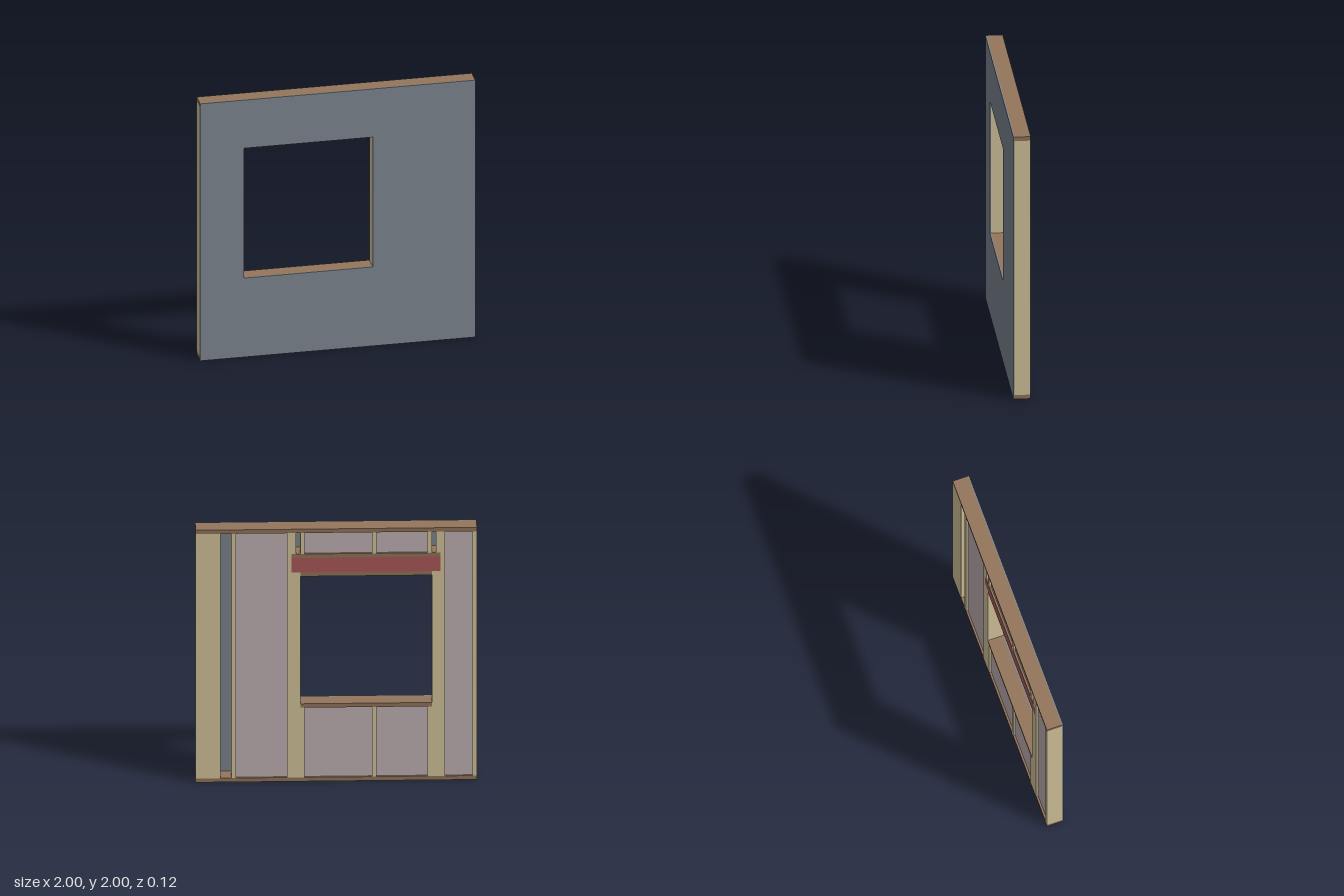
import * as THREE from 'three';

const T = 0.03125;                     // lumber thickness
const BACK = -0.062, FACE = 0.0527, FRONT = 0.062;
const L = 0.255, R = -0.68;            // sides of the window opening
const SILL = 0.615, HEAD = 1.625;      // bottom and top of the opening

const mat = (color) => new THREE.MeshStandardMaterial({ color, flatShading: true });
const wood = mat(0xd9c9a0), plate = mat(0x94765c), red = mat(0xb05a5a);
const batt = mat(0xc6b7b8), board = mat(0x7f8893);

export function createModel() {
  const model = new THREE.Group();

  // box given by its extents
  const block = (name, x0, x1, y0, y1, material, z0 = BACK, z1 = FACE) => {
    const mesh = new THREE.Mesh(new THREE.BoxGeometry(x1 - x0, y1 - y0, z1 - z0), material);
    mesh.position.set((x0 + x1) / 2, (y0 + y1) / 2, (z0 + z1) / 2);
    mesh.name = name;
    model.add(mesh);
  };
  // upright lumber starting at x
  const stud = (name, x, y0 = T, y1 = 2 - T) => block(name, x, x + T, y0, y1, wood);
  // batt slightly recessed from the open back
  const insulate = (x0, x1, y0, y1) => block('insulation', x0, x1, y0, y1, batt, BACK + 0.015, FACE);

  // top and bottom plates
  block('bottomPlate', -1, 1, 0, T, plate);
  block('topPlate', -1, 1, 2 - T, 2, plate);

  // corner post: two studs with a flat stud between, and the end stud
  stud('cornerStud', 1 - T);
  block('cornerFlatStud', 0.854, 1 - T, T, 2 - T, wood, BACK, BACK + T);
  stud('cornerStud', 0.854 - T);
  stud('endStud', -1);
  stud('commonStud', 0.714);

  // header with its plates
  const h0 = HEAD + T, h1 = h0 + 0.1146, h2 = h1 + T;
  block('headerBottomPlate', R, L, HEAD, h0, plate);
  block('header', R - 2 * T, L + 2 * T, h0, h1, red);
  block('headerTopPlate', R - 2 * T, L + 2 * T, h1, h2, plate);

  // window sill
  const s0 = SILL - T;
  block('sill', R, L, s0, SILL, plate);

  // king studs, paired jack studs and cripples on both sides of the opening
  for (const [edge, dir] of [[L, 1], [R, -1]]) {
    const at = (n) => (dir > 0 ? edge + n * T : edge - (n + 1) * T);
    stud('kingStud', at(2));
    stud('jackStud', at(0), T, h0);
    stud('jackStud', at(1), T, h0);
    stud('upperCripple', at(1), h2);
    stud('upperCripple', at(-1), h2);
    stud('lowerCripple', at(-1), T, s0);
  }

  // middle cripples
  const mid = -0.286;
  stud('upperCripple', mid, h2);
  stud('lowerCripple', mid, T, s0);

  // insulation in the bays
  insulate(L + 3 * T, 0.714, T, 2 - T);
  insulate(-1 + T, R - 3 * T, T, 2 - T);
  for (const [y0, y1] of [[T, s0], [h2, 2 - T]]) {
    insulate(R + T, mid, y0, y1);
    insulate(mid + T, L - T, y0, y1);
  }

  // front sheathing with the window cut out
  const rect = (path, x0, x1, y0, y1) =>
    path.moveTo(x0, y0).lineTo(x1, y0).lineTo(x1, y1).lineTo(x0, y1).closePath();
  const outline = new THREE.Shape();
  rect(outline, -1, 1, 0, 2);
  const opening = new THREE.Path();
  rect(opening, R, L, SILL, HEAD);
  outline.holes.push(opening);
  const sheathing = new THREE.Mesh(
    new THREE.ExtrudeGeometry(outline, { depth: FRONT - FACE, bevelEnabled: false }), board);
  sheathing.position.z = FACE;
  sheathing.name = 'sheathing';
  model.add(sheathing);

  return model;
}
